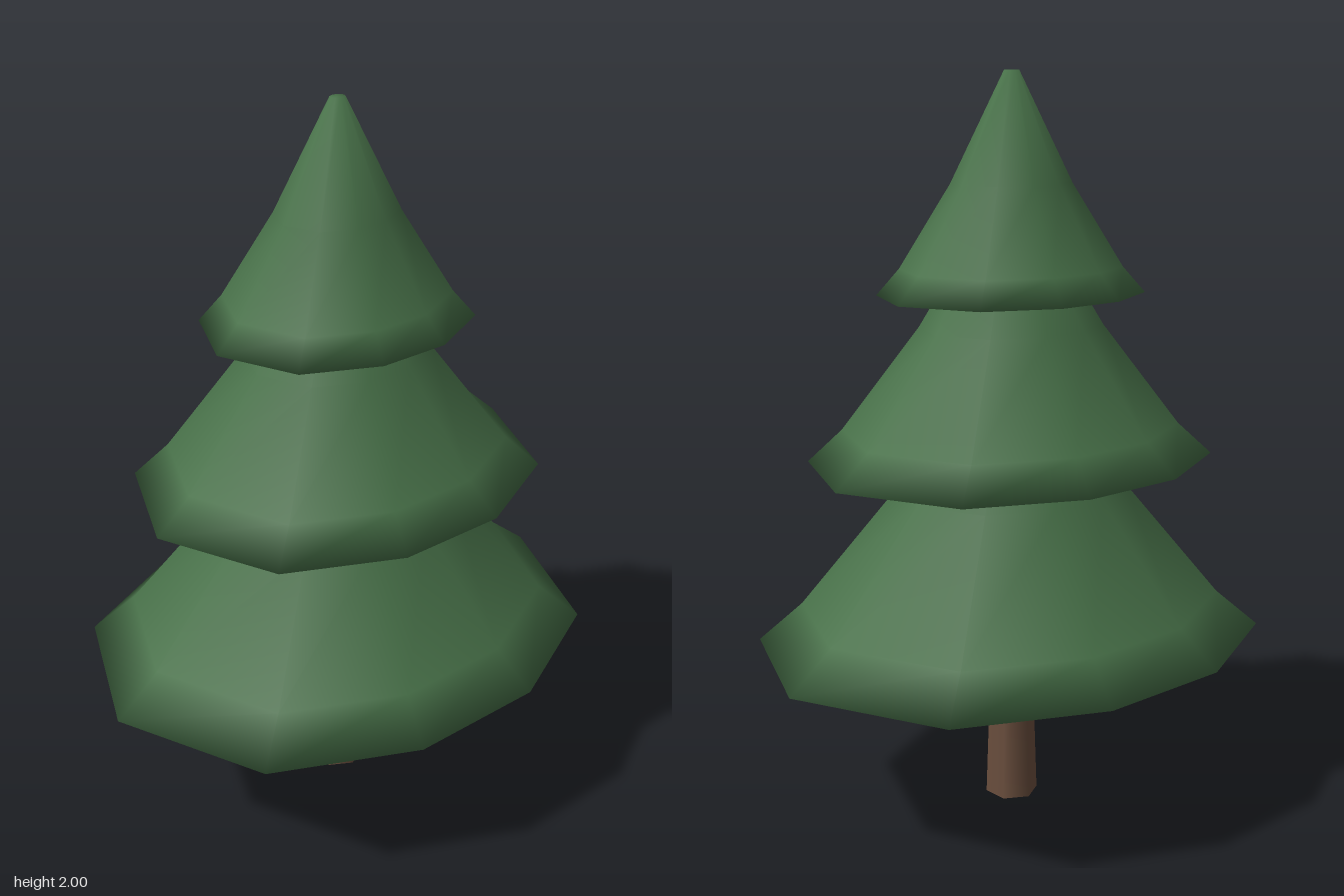
import * as THREE from 'three';

// Ten-sided oval outline, as fractions of the half width (x) and half depth (z)
const quarter = [[1, 0], [0.762, 0.7], [0.26, 1]];
const outline = [
  ...quarter,
  ...quarter.slice(1).reverse().map(([x, z]) => [-x, z]),
  ...quarter.map(([x, z]) => [-x, -z]),
  ...quarter.slice(1).reverse().map(([x, z]) => [x, -z]),
];

// Tier profile (radius, height as fractions): tip, slope, flared skirt, shallow hollow underside
const profile = [[0, 1], [0.055, 1], [0.45, 0.5], [0.83, 0.12], [1, 0], [0, 0.155]];

// Smooth (outward, up) normal at each profile point: the mean of its two neighbouring slopes
function profileNormals(radius, height) {
  const slopes = profile.slice(1).map(([r, h], i) => new THREE.Vector2(
    (profile[i][1] - h) * height, (r - profile[i][0]) * radius).normalize());
  return profile.map(([r], i) => {
    if (r === 0) return new THREE.Vector2(0, i === 0 ? 1 : -1);
    return slopes[i - 1].clone().add(slopes[i]).normalize();
  });
}

// Closed tier of foliage swept from the profile around the oval outline
function tierGeometry(halfWidth, halfDepth, height) {
  const positions = [];
  const normals = [];
  const index = [];
  const n = outline.length;
  const slopeNormals = profileNormals((halfWidth + halfDepth) / 2, height);
  profile.forEach(([r, h], i) => {
    for (const [x, z] of outline) {
      positions.push(x * r * halfWidth, h * height, z * r * halfDepth);
      const out = new THREE.Vector2(x / halfWidth, z / halfDepth).setLength(slopeNormals[i].x);
      normals.push(out.x, slopeNormals[i].y, out.y);
    }
  });
  for (let i = 0; i < profile.length - 1; i++) {
    for (let j = 0; j < n; j++) {
      const k = (j + 1) % n;
      const a = i * n + j, b = a + n, c = (i + 1) * n + k, d = i * n + k;
      if (profile[i + 1][0] > 0) index.push(a, c, b);
      if (profile[i][0] > 0) index.push(a, d, c);
    }
  }
  const geometry = new THREE.BufferGeometry();
  geometry.setAttribute('position', new THREE.Float32BufferAttribute(positions, 3));
  geometry.setAttribute('normal', new THREE.Float32BufferAttribute(normals, 3));
  geometry.setIndex(index);
  return geometry;
}

export function createModel() {
  const needles = new THREE.MeshStandardMaterial({ color: 0x477048 });
  needles.name = 'needle green';
  const bark = new THREE.MeshStandardMaterial({ color: 0x6b4f3e });
  bark.name = 'bark brown';

  const tree = new THREE.Group();
  tree.name = 'firTree';

  // Tapered six-sided trunk reaching into the lowest tier
  const trunk = new THREE.Mesh(new THREE.CylinderGeometry(0.051, 0.073, 0.65, 6), bark);
  trunk.name = 'trunk';
  trunk.position.y = 0.325;
  tree.add(trunk);

  // Three stacked tiers of foliage
  const tiers = [
    { name: 'lowerFoliage', width: 0.738, depth: 0.588, base: 0.475, height: 0.84 },
    { name: 'middleFoliage', width: 0.583, depth: 0.464, base: 0.976, height: 0.72 },
    { name: 'upperFoliage', width: 0.38, depth: 0.302, base: 1.422, height: 0.578 },
  ];
  for (const { name, width, depth, base, height } of tiers) {
    const tier = new THREE.Mesh(tierGeometry(width, depth, height), needles);
    tier.name = name;
    tier.position.y = base;
    tree.add(tier);
  }
  return tree;
}
